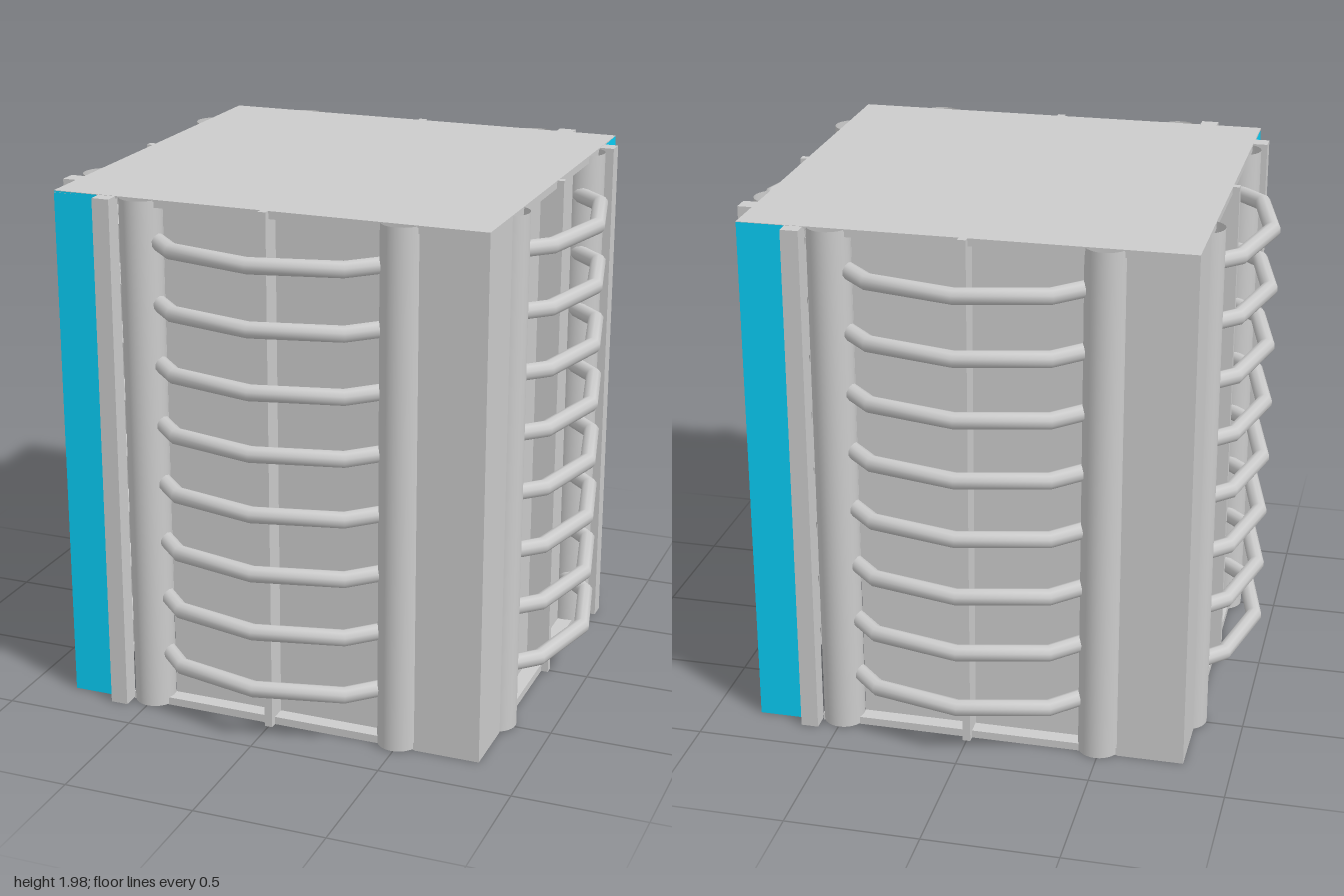
import * as THREE from 'three';

const H = 1.98;
const HALF_X = 0.82, HALF_Z = 0.812;
const grey = new THREE.MeshStandardMaterial({ color: 0xcccccc });
const greyThin = new THREE.MeshStandardMaterial({ color: 0xcccccc, side: THREE.DoubleSide });
const blueThin = new THREE.MeshStandardMaterial({ color: 0x08cdf5, side: THREE.DoubleSide });

// Straight-segment path with mitred corners for tubes
class Polyline extends THREE.Curve {
  constructor(points) {
    super();
    this.points = points;
  }
  getUtoTmapping(u) {
    return u;
  }
  getPoint(t, target = new THREE.Vector3()) {
    const n = this.points.length - 1;
    const i = Math.min(Math.floor(t * n + 1e-9), n - 1);
    return target.lerpVectors(this.points[i], this.points[i + 1], t * n - i);
  }
}

function add(parent, name, geometry, material, x = 0, y = 0, z = 0) {
  const mesh = new THREE.Mesh(geometry, material);
  mesh.name = name;
  mesh.position.set(x, y, z);
  parent.add(mesh);
  return mesh;
}

// Box given by its limits on each axis
function addBox(parent, name, [x0, x1], [y0, y1], [z0, z1]) {
  return add(parent, name, new THREE.BoxGeometry(x1 - x0, y1 - y0, z1 - z0), grey,
    (x0 + x1) / 2, (y0 + y1) / 2, (z0 + z1) / 2);
}

// One face of the cabinet, facing +z; s is the side of the coloured corner
function createSide(name, s) {
  const side = new THREE.Group();
  side.name = name;

  // flat recessed panel with a centre rib
  add(side, 'recessedPanel', new THREE.PlaneGeometry(0.84, H - 0.01), greyThin, 0, H / 2 - 0.005, 0.748);
  addBox(side, 'centreRib', [-0.015, 0.015], [0, H], [0.748, 0.835]);

  // rounded channel posts, open towards the inside
  for (const x of [-0.495, 0.495]) {
    add(side, 'roundedPost',
      new THREE.CylinderGeometry(0.078, 0.078, H - 0.006, 18, 1, true, -Math.PI * 0.61, Math.PI * 1.22),
      greyThin, x, H / 2, 0.773);
  }

  // rails closing the recess at the bottom and top, trim beside the coloured corner
  addBox(side, 'bottomRail', [-0.57, 0.57], [0, 0.03], [0.75, 0.808]);
  addBox(side, 'topRail', [-0.57, 0.57], [H - 0.03, H - 0.005], [0.75, 0.808]);
  const trim = addBox(side, 'cornerTrim', [-0.033, 0.033], [0, H - 0.001], [0.795, 0.865]);
  trim.position.x = s * 0.608;

  // bent guard bars running into the posts
  const path = new Polyline([[-0.53, 0.68], [-0.325, 0.885], [0, 0.96], [0.325, 0.885], [0.53, 0.68]]
    .map(([x, z]) => new THREE.Vector3(x, 0, z)));
  const bar = new THREE.TubeGeometry(path, 4, 0.031, 10, false);
  for (let i = 0; i < 8; i++) add(side, 'guardBar', bar, greyThin, 0, 0.215 + i * 0.2295, 0);
  return side;
}

export function createModel() {
  const model = new THREE.Group();
  model.name = 'cabinet';

  // four faces
  ['frontFace', 'leftFace', 'backFace', 'rightFace'].forEach((name, i) => {
    const side = createSide(name, i % 2 ? 1 : -1);
    side.rotation.y = i * Math.PI / 2;
    if (i % 2) side.position.x = i === 1 ? 0.01 : -0.01;
    model.add(side);
  });

  // corners folded from two sheets: two coloured, two plain and wider
  for (const sx of [-1, 1]) {
    for (const sz of [-1, 1]) {
      const coloured = sx !== sz;
      const w = coloured ? 0.18 : 0.25;
      const corner = new THREE.Group();
      corner.name = coloured ? 'colouredCorner' : 'plainCorner';
      const sheet = new THREE.PlaneGeometry(w, H - 0.002);
      const material = coloured ? blueThin : greyThin;
      const y = H / 2 - 0.001;
      const zSheet = add(corner, 'cornerSheet', sheet, material, sx * (HALF_X - w / 2), y, sz * HALF_Z);
      zSheet.rotation.y = sz > 0 ? 0 : Math.PI;
      const xSheet = add(corner, 'cornerSheet', sheet, material, sx * HALF_X, y, sz * (HALF_Z - w / 2));
      xSheet.rotation.y = sx * Math.PI / 2;
      model.add(corner);
    }
  }

  // roof plate
  addBox(model, 'roof', [-HALF_X, HALF_X], [H - 0.008, H], [-HALF_Z, HALF_Z]);
  return model;
}
